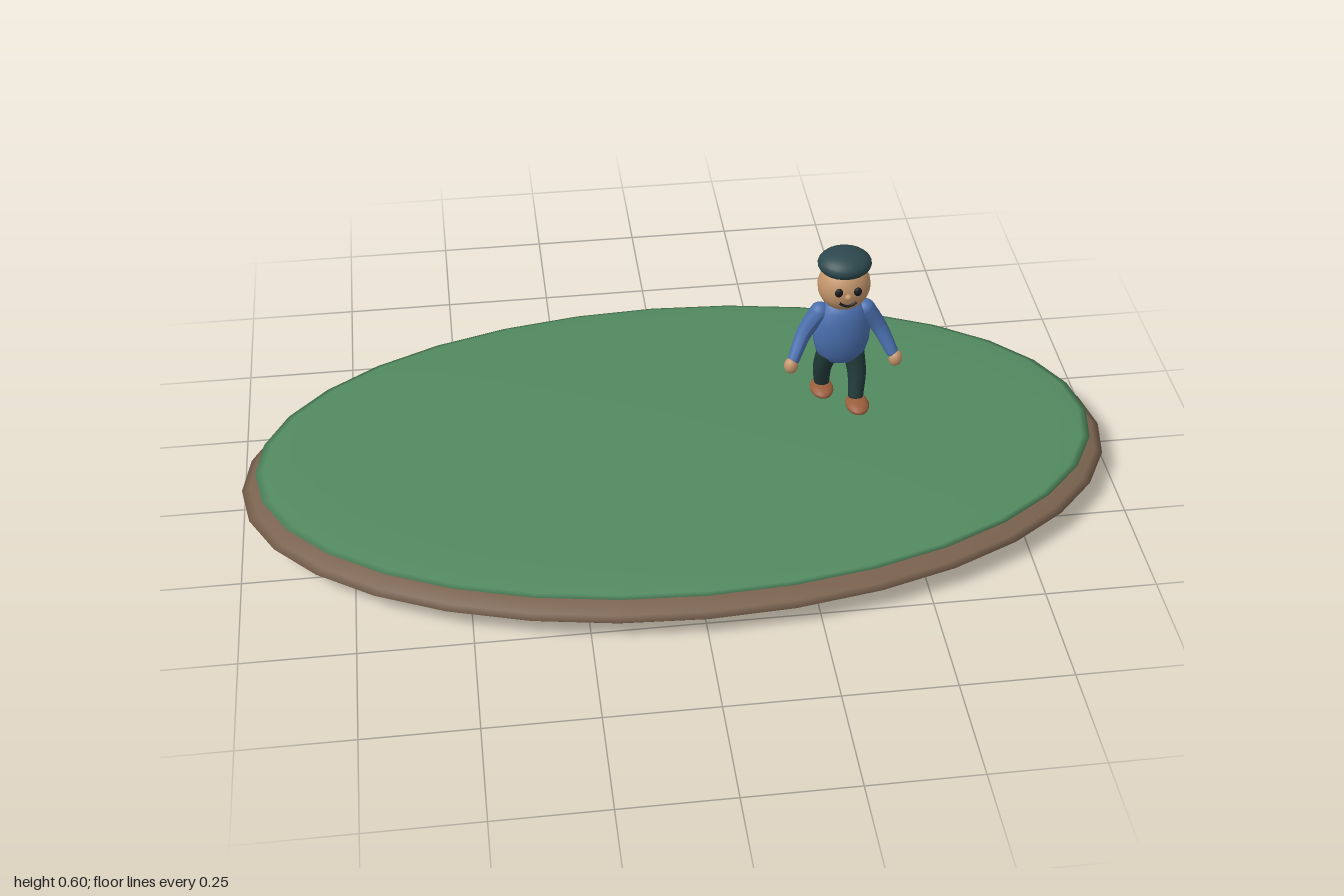
import * as THREE from 'three';

const mat = (name, color) => {
  const m = new THREE.MeshStandardMaterial({ color });
  m.name = name;
  return m;
};

export function createModel() {
  const soil = mat('soil brown', 0x7a624e);
  const grass = mat('grass green', 0x528a60);
  const skin = mat('skin tan', 0xc4966c);
  const shirt = mat('shirt blue', 0x4a6fae);
  const trousers = mat('trouser dark green', 0x223a3a);
  const capColor = mat('cap slate', 0x2c484d);
  const leather = mat('shoe leather', 0x9a5e3c);
  const ink = mat('face dark', 0x17191b);

  const model = new THREE.Group();
  const add = (parent, name, geometry, material, x = 0, y = 0, z = 0) => {
    const mesh = new THREE.Mesh(geometry, material);
    mesh.name = name;
    mesh.position.set(x, y, z);
    parent.add(mesh);
    return mesh;
  };
  const ellipsoid = (rx, ry, rz, w = 24, h = 16) => new THREE.SphereGeometry(1, w, h).scale(rx, ry, rz);

  // Limb: tapered rounded sweep through a few points, closed by spheres
  const limb = (parent, name, points, r0, r1, material) => {
    const curve = new THREE.CatmullRomCurve3(points.map(p => new THREE.Vector3(...p)));
    const steps = 12, sides = 14;
    const geo = new THREE.TubeGeometry(curve, steps, 1, sides);
    const pos = geo.attributes.position, v = new THREE.Vector3();
    for (let i = 0; i < pos.count; i++) {
      const t = Math.floor(i / (sides + 1)) / steps;
      const c = curve.getPointAt(t);
      v.fromBufferAttribute(pos, i).sub(c).multiplyScalar(r0 + (r1 - r0) * t).add(c);
      pos.setXYZ(i, v.x, v.y, v.z);
    }
    geo.computeVertexNormals();
    add(parent, name, geo, material);
    add(parent, name + 'Top', ellipsoid(r0, r0, r0, 14, 10), material, ...points[0]);
    add(parent, name + 'End', ellipsoid(r1, r1, r1, 14, 10), material, ...points[points.length - 1]);
  };

  // Island: soil disc with a thinner grass disc on top
  add(model, 'soilBase', ellipsoid(1, 0.056, 0.545, 32, 16), soil, 0, 0.057, 0);
  add(model, 'grassTop', ellipsoid(0.965, 0.018, 0.525, 32, 16), grass, 0, 0.105, 0);

  // Walking figure
  const figure = new THREE.Group();
  figure.name = 'figure';
  figure.position.x = 0.37;
  model.add(figure);

  // Torso: rounded barrel
  const profile = [[0, 0.303], [0.022, 0.306], [0.042, 0.317], [0.056, 0.337], [0.064, 0.368], [0.065, 0.395],
    [0.061, 0.425], [0.052, 0.452], [0.036, 0.468], [0.018, 0.475], [0, 0.477]].map(p => new THREE.Vector2(...p));
  add(figure, 'torso', new THREE.LatheGeometry(profile, 24).scale(1, 1, 0.68), shirt);

  // Head, cap and face
  add(figure, 'head', ellipsoid(0.059, 0.06, 0.055), skin, 0, 0.516, 0);
  add(figure, 'cap', ellipsoid(0.06, 0.03, 0.054), capColor, 0, 0.57, -0.004);
  add(figure, 'nose', ellipsoid(0.008, 0.007, 0.008, 12, 8), skin, 0, 0.517, 0.055);
  for (const s of [-1, 1]) {
    add(figure, s > 0 ? 'leftEye' : 'rightEye', ellipsoid(0.009, 0.011, 0.006, 12, 8), ink, s * 0.021, 0.528, 0.052);
  }
  const smile = new THREE.QuadraticBezierCurve3(new THREE.Vector3(-0.019, 0.501, 0.052),
    new THREE.Vector3(0, 0.484, 0.056), new THREE.Vector3(0.019, 0.501, 0.052));
  add(figure, 'mouth', new THREE.TubeGeometry(smile, 10, 0.0028, 6), ink);

  // Arms and legs; the left leg steps forward, the right one back
  for (const s of [-1, 1]) {
    const side = s > 0 ? 'left' : 'right';
    limb(figure, side + 'Arm', [[s * 0.052, 0.445, 0], [s * 0.085, 0.395, 0.006], [s * 0.112, 0.342, 0.032]],
      0.022, 0.014, shirt);
    add(figure, side + 'Hand', ellipsoid(0.016, 0.02, 0.016, 14, 10), skin, s * 0.119, 0.328, 0.038);
    const ankle = s > 0 ? 0.033 : -0.028;
    limb(figure, side + 'Leg', [[s * 0.03, 0.33, 0], [s * 0.037, 0.28, ankle * 0.5], [s * 0.034, 0.23, ankle]],
      0.025, 0.018, trousers);
    add(figure, side + 'Shoe', ellipsoid(0.027, 0.014, 0.039, 16, 10), leather,
      s * 0.035, 0.214, s > 0 ? 0.051 : -0.019);
  }
  return model;
}
